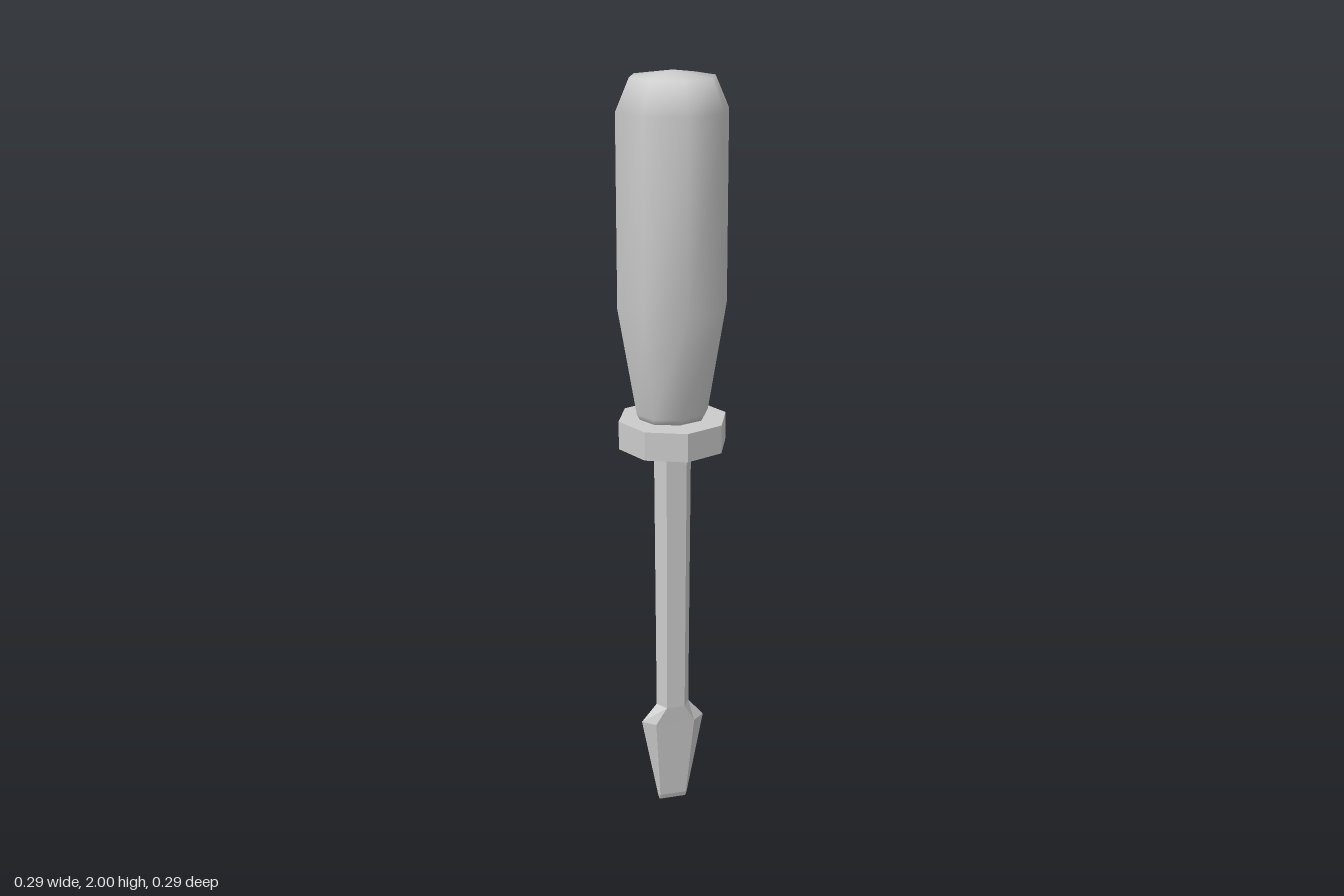
import * as THREE from 'three';

// Skin a stack of rings (each an array of [x, y, z]) and close both ends on centre points.
function loft(rings, bottomY, topY) {
  const n = rings[0].length;
  const points = [...rings.flat(), [0, bottomY, 0], [0, topY, 0]];
  const bottom = points.length - 2, top = points.length - 1;
  const last = (rings.length - 1) * n;
  const index = [];
  for (let i = 0; i < n; i++) {
    const j = (i + 1) % n;
    for (let r = 0; r < last; r += n) {
      index.push(r + j, r + i, r + n + i, r + j, r + n + i, r + n + j);
    }
    index.push(bottom, i, j, top, last + j, last + i);
  }
  const geometry = new THREE.BufferGeometry();
  geometry.setAttribute('position', new THREE.Float32BufferAttribute(points.flat(), 3));
  geometry.setIndex(index);
  geometry.computeVertexNormals();
  return geometry;
}

// Eight-sided ring with corners on the axes
const octagon = ([y, rx, rz]) => Array.from({ length: 8 }, (_, i) => {
  const a = i * Math.PI / 4;
  return [rx * Math.cos(a), y, rz * Math.sin(a)];
});

// Six-sided ring: points at +-outer, flats of half width inner at z = +-depth
const hexagon = ([y, outer, inner, depth]) => [
  [outer, y, 0], [inner, y, depth], [-inner, y, depth],
  [-outer, y, 0], [-inner, y, -depth], [inner, y, -depth],
];

export function createModel() {
  const group = new THREE.Group();
  const smooth = new THREE.MeshStandardMaterial({ color: 0xcccccc });
  const faceted = new THREE.MeshStandardMaterial({ color: 0xcccccc, flatShading: true });
  const add = (name, geometry, material) => {
    const mesh = new THREE.Mesh(geometry, material);
    mesh.name = name;
    group.add(mesh);
  };

  // Rounded grip, narrowing to a slightly oval neck
  add('handle', loft([
    [1.12, 0.085, 0.07],
    [1.14, 0.095, 0.079],
    [1.42, 0.143, 0.143],
    [1.905, 0.143, 0.143],
    [1.985, 0.108, 0.108],
  ].map(octagon), 1.12, 2), smooth);

  // Flat guard under the grip
  add('collar', loft([
    [1.05, 0.143, 0.143],
    [1.125, 0.143, 0.143],
  ].map(octagon), 1.05, 1.125), faceted);

  // Hexagonal shaft flaring into a flat blade
  add('shaftAndBlade', loft([
    [0, 0.038, 0.035, 0.002],
    [0.015, 0.042, 0.037, 0.007],
    [0.25, 0.087, 0.054, 0.028],
    [0.3, 0.045, 0.025, 0.033],
    [1.06, 0.05, 0.027, 0.041],
  ].map(hexagon), 0, 1.06), faceted);

  return group;
}
